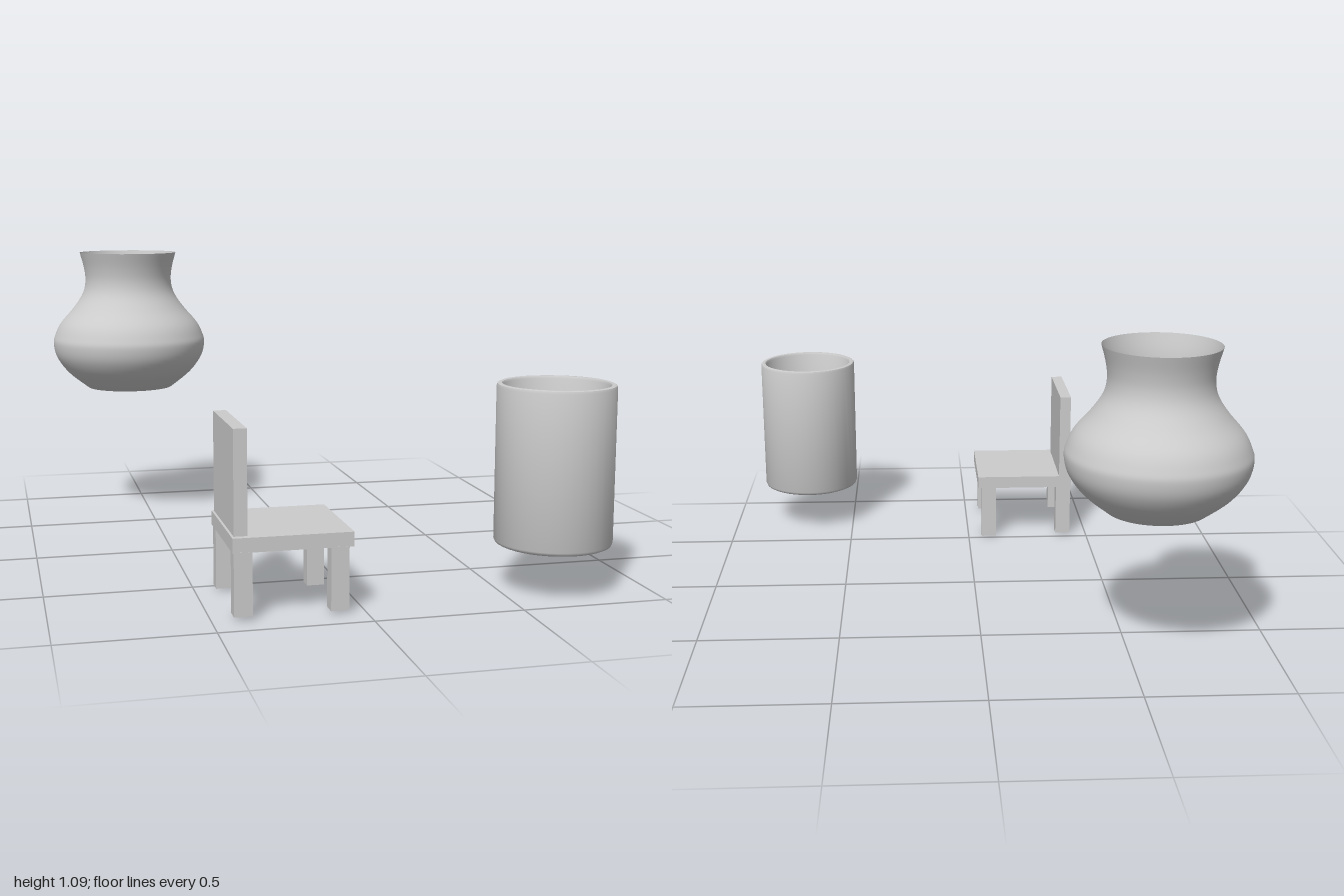
import * as THREE from 'three';
import { toCreasedNormals } from 'three/addons/utils/BufferGeometryUtils.js';

const grey = new THREE.MeshStandardMaterial({ color: 0xcccccc });
const greyDouble = new THREE.MeshStandardMaterial({ color: 0xcccccc, side: THREE.DoubleSide });

function part(name, geometry, material = grey) {
  const mesh = new THREE.Mesh(geometry, material);
  mesh.name = name;
  return mesh;
}

// Box given by its lower and upper corners
function box(name, [x0, y0, z0], [x1, y1, z1]) {
  const mesh = part(name, new THREE.BoxGeometry(x1 - x0, y1 - y0, z1 - z0));
  mesh.position.set((x0 + x1) / 2, (y0 + y1) / 2, (z0 + z1) / 2);
  return mesh;
}

const points = (list) => list.map(([r, y]) => new THREE.Vector2(r, y));

// Thin-walled pot with a round belly, narrow neck and flared rim
function createVase() {
  const vase = new THREE.Group();
  vase.name = 'vase';
  const profile = new THREE.SplineCurve(points([
    [0.172, 0.532], [0.25, 0.595], [0.296, 0.658], [0.31, 0.715], [0.302, 0.752], [0.278, 0.8],
    [0.226, 0.861], [0.188, 0.918], [0.175, 0.97], [0.18, 1.026], [0.196, 1.087],
  ]));
  vase.add(part('vaseBody', new THREE.LatheGeometry(profile.getPoints(48), 64), greyDouble));
  const floor = part('vaseFloor', new THREE.CircleGeometry(0.172, 64), greyDouble);
  floor.rotation.x = Math.PI / 2;
  floor.position.y = 0.532;
  vase.add(floor);
  vase.position.set(-0.572, 0, -0.692);
  return vase;
}

// Hollow straight-sided cup with small bevels on its edges
function createCup() {
  const profile = points([
    [0, 0.163], [0.186, 0.163], [0.194, 0.167], [0.198, 0.176],
    [0.198, 0.695], [0.195, 0.703], [0.188, 0.706], [0.18, 0.704], [0.176, 0.697],
    [0.176, 0.19], [0.17, 0.184], [0, 0.184],
  ]);
  const cup = part('cup', toCreasedNormals(new THREE.LatheGeometry(profile, 40), 0.7));
  cup.position.set(0.68, 0, 0.8);
  return cup;
}

// Chair turned to face +x, its backrest on the -x edge
function createChair() {
  const chair = new THREE.Group();
  chair.name = 'chair';
  chair.add(box('seat', [-0.433, 0.218, 0.507], [-0.04, 0.266, 0.9]));
  chair.add(box('backrest', [-0.425, 0.266, 0.51], [-0.381, 0.608, 0.877]));
  for (const [x, z, foot] of [
    [-0.4, 0.545, 0.01], [-0.4, 0.875, 0.012], [-0.086, 0.545, 0], [-0.086, 0.875, 0.01],
  ]) {
    chair.add(box('leg', [x - 0.03, foot, z - 0.026], [x + 0.03, 0.22, z + 0.026]));
  }
  return chair;
}

export function createModel() {
  const model = new THREE.Group();
  model.name = 'vaseCupAndChair';
  model.add(createVase(), createCup(), createChair());
  return model;
}
